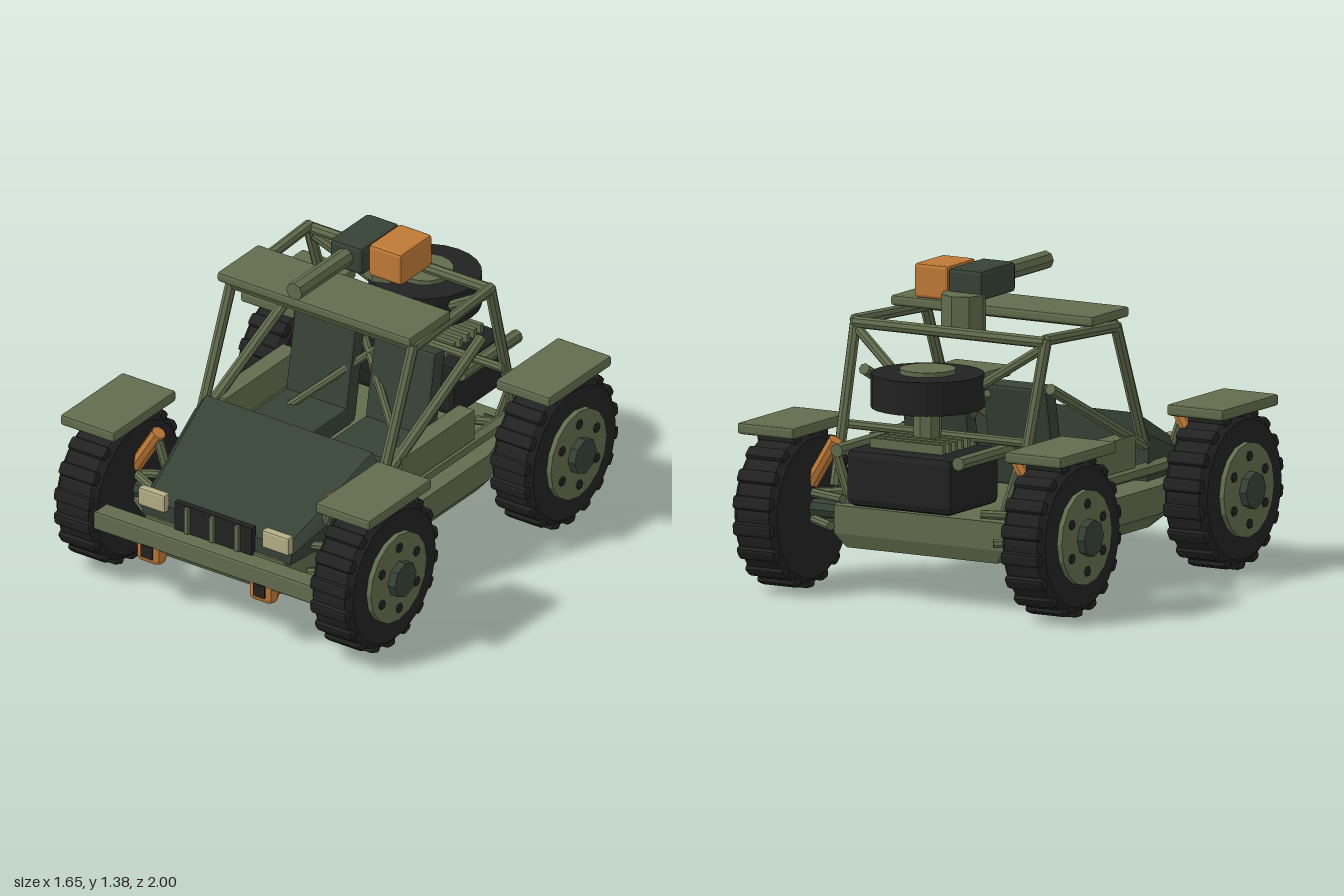
import * as THREE from 'three';
import { RoundedBoxGeometry } from 'three/addons/geometries/RoundedBoxGeometry.js';
import { ConvexGeometry } from 'three/addons/geometries/ConvexGeometry.js';

const mat = (name, color) => {
  const m = new THREE.MeshStandardMaterial({ color });
  m.name = name;
  return m;
};
const V = (x, y, z) => new THREE.Vector3(x, y, z);

// Faceted normals for the low-poly look
function flat(geometry) {
  const g = geometry.index ? geometry.toNonIndexed() : geometry;
  g.computeVertexNormals();
  return g;
}

export function createModel() {
  const olive = mat('olive paint', 0x626c4d);
  const green = mat('dark green', 0x364236);
  const black = mat('black rubber', 0x222223);
  const orange = mat('orange', 0xc07a36);
  const cream = mat('cream lamp', 0xb4af86);
  const model = new THREE.Group();
  model.name = 'buggy';

  const add = (name, geometry, material, parent = model) => {
    const m = new THREE.Mesh(flat(geometry), material);
    m.name = name;
    parent.add(m);
    return m;
  };
  // Box with chamfered edges, given its centre and size
  const box = (name, material, [x, y, z], [w, h, d], bevel = 0.01, parent = model) => {
    const g = bevel ? new RoundedBoxGeometry(w, h, d, 1, bevel) : new THREE.BoxGeometry(w, h, d);
    const m = add(name, g, material, parent);
    m.position.set(x, y, z);
    return m;
  };
  // Straight tube between two points
  const tube = (name, material, a, b, r = 0.025, sides = 8, parent = model) => {
    const p = V(...a), q = V(...b);
    const m = add(name, new THREE.CylinderGeometry(r, r, p.distanceTo(q), sides), material, parent);
    m.position.copy(p).add(q).multiplyScalar(0.5);
    m.quaternion.setFromUnitVectors(V(0, 1, 0), q.sub(p).normalize());
    return m;
  };

  // Hull tub with chamfered lower edge
  const plan = [[0.36, 0.88], [0.52, 0.38], [0.52, -0.38], [0.42, -0.72]];
  const hull = [];
  for (const s of [-1, 1]) for (const [x, z] of plan) {
    hull.push(V(s * x, 0.38, z), V(s * x, 0.26, z), V(s * (x - 0.05), 0.2, z * 0.97));
  }
  add('hull', new ConvexGeometry(hull), olive);

  // Sloping hood
  const hood = [];
  for (const s of [-1, 1]) {
    hood.push(V(s * 0.43, 0.69, 0.34), V(s * 0.49, 0.6, 0.34), V(s * 0.48, 0.4, 0.34),
      V(s * 0.36, 0.45, 0.87), V(s * 0.39, 0.42, 0.87), V(s * 0.38, 0.37, 0.87));
  }
  add('hood', new ConvexGeometry(hood), green);

  // Grille, bumper and lamps
  box('grille', black, [0, 0.435, 0.88], [0.4, 0.13, 0.03], 0);
  for (const x of [-0.13, 0, 0.13]) box('grilleBar', olive, [x, 0.435, 0.9], [0.02, 0.12, 0.02], 0);
  box('bumper', olive, [0, 0.325, 0.92], [1.15, 0.09, 0.09], 0.012);

  // Engine block, fins and spare wheel
  box('engine', black, [0, 0.54, -0.69], [0.53, 0.25, 0.4], 0.035);
  for (let i = 0; i < 6; i++) {
    box('engineFin', olive, [0, 0.685, -0.56 - i * 0.05], [0.36, 0.04, 0.022], 0);
  }
  tube('spareMount', olive, [0, 0.64, -0.65], [0, 0.84, -0.65], 0.06);
  tube('spareTyre', black, [0, 0.83, -0.65], [0, 0.975, -0.65], 0.24, 24);
  tube('spareHub', olive, [0, 0.96, -0.65], [0, 0.995, -0.65], 0.12, 16);

  // Roof and rear crossbars
  box('roof', olive, [0, 1.158, 0.015], [1.0, 0.045, 0.3], 0.012);
  tube('frontCrossbar', olive, [-0.47, 1.11, 0.1], [0.47, 1.11, 0.1]);
  tube('rearCrossbar', olive, [-0.47, 1.12, -0.47], [0.47, 1.12, -0.47]);
  tube('lowCrossbar', olive, [-0.47, 0.7, -0.56], [0.47, 0.7, -0.56], 0.02);

  // Roof weapon with its sight box
  tube('turretMount', olive, [0, 1.1, -0.36], [0, 1.27, -0.36], 0.097);
  box('gunBody', green, [0, 1.305, -0.21], [0.17, 0.13, 0.28], 0.018);
  tube('barrel', olive, [0, 1.31, -0.1], [0, 1.31, 0.305], 0.04);
  box('sightBox', orange, [0.17, 1.3, -0.23], [0.17, 0.15, 0.23], 0.015);

  for (const s of [-1, 1]) {
    // Roll cage
    tube('windshieldPost', olive, [s * 0.47, 0.55, 0.33], [s * 0.47, 1.11, 0.1]);
    tube('roofRail', olive, [s * 0.47, 1.1, 0.1], [s * 0.47, 1.13, -0.47]);
    tube('rearPost', olive, [s * 0.47, 1.13, -0.46], [s * 0.45, 0.45, -0.66]);
    tube('sideBrace', olive, [s * 0.47, 0.56, 0.32], [s * 0.46, 0.91, -0.41]);
    tube('innerBrace', olive, [s * 0.45, 1.09, -0.47], [s * 0.17, 0.9, -0.56], 0.022);
    tube('rearRail', olive, [s * 0.3, 0.65, -0.48], [s * 0.3, 0.65, -0.895], 0.03);
    tube('seatBrace', olive, [s * 0.4, 0.4, 0.04], [s * -0.08, 0.84, -0.3], 0.018);

    // Side sill and pod
    tube('sill', olive, [s * 0.47, 0.45, -0.6], [s * 0.47, 0.45, 0.5], 0.032, 6);
    box('sidePod', olive, [s * 0.455, 0.55, -0.045], [0.08, 0.14, 0.53], 0);

    // Seats
    box('seatBack', green, [s * 0.205, 0.665, -0.21], [0.32, 0.45, 0.08], 0.015).rotation.x = -0.18;
    box('seatCushion', green, [s * 0.205, 0.48, -0.04], [0.32, 0.09, 0.3], 0.015);

    // Headlamps and fog lamps
    box('headlamp', cream, [s * 0.32, 0.468, 0.875], [0.14, 0.085, 0.04], 0.01);
    box('fogLamp', orange, [s * 0.29, 0.257, 0.93], [0.125, 0.11, 0.07], 0.025);
    box('fogLens', black, [s * 0.29, 0.262, 0.967], [0.06, 0.058, 0.008], 0);

    for (const e of [-1, 1]) {
      const z = e * 0.655;
      // Fender and suspension
      box('fender', olive, [s * 0.66, 0.697, z], [0.28, 0.05, 0.455], 0.012);
      tube('shock', orange, [s * 0.45, 0.645, z], [s * 0.57, 0.45, z], 0.032);
      tube('shockTower', olive, [s * 0.38, 0.4, z], [s * 0.46, 0.63, z], 0.022);
      tube('axle', green, [s * 0.3, 0.345, z], [s * 0.6, 0.345, z], 0.04);
      for (const d of [-0.12, 0.12]) {
        tube('upperArm', olive, [s * 0.34, 0.42, z + d], [s * 0.57, 0.41, z], 0.02);
        tube('lowerArm', olive, [s * 0.4, 0.3, z + d], [s * 0.57, 0.3, z], 0.02);
      }

      // Wheel, built around its own axis (local y points outward)
      const wheel = new THREE.Group();
      wheel.name = 'wheel';
      wheel.position.set(s * 0.662, 0.345, z);
      wheel.rotation.z = -s * Math.PI / 2;
      model.add(wheel);
      const profile = [[0, -0.105], [0.3, -0.105], [0.328, -0.08], [0.328, 0.08], [0.3, 0.105], [0, 0.105]];
      add('tyre', new THREE.LatheGeometry(profile.map(p => new THREE.Vector2(...p)), 32), black, wheel);
      for (let i = 0; i < 18; i++) {
        const a = i / 18 * Math.PI * 2;
        const lug = box('treadLug', black, [Math.cos(a) * 0.32, 0, Math.sin(a) * 0.32],
          [0.05, 0.19, 0.06], 0.014, wheel);
        lug.rotation.y = -a;
      }
      tube('rim', olive, [0, 0.09, 0], [0, 0.128, 0], 0.204, 16, wheel);
      tube('hubCap', green, [0, 0.12, 0], [0, 0.163, 0], 0.08, 8, wheel);
      for (let i = 0; i < 6; i++) {
        const a = i / 6 * Math.PI * 2;
        const x = Math.cos(a) * 0.145, w = Math.sin(a) * 0.145;
        tube('bolt', black, [x, 0.12, w], [x, 0.135, w], 0.022, 6, wheel);
      }
    }
  }
  return model;
}
